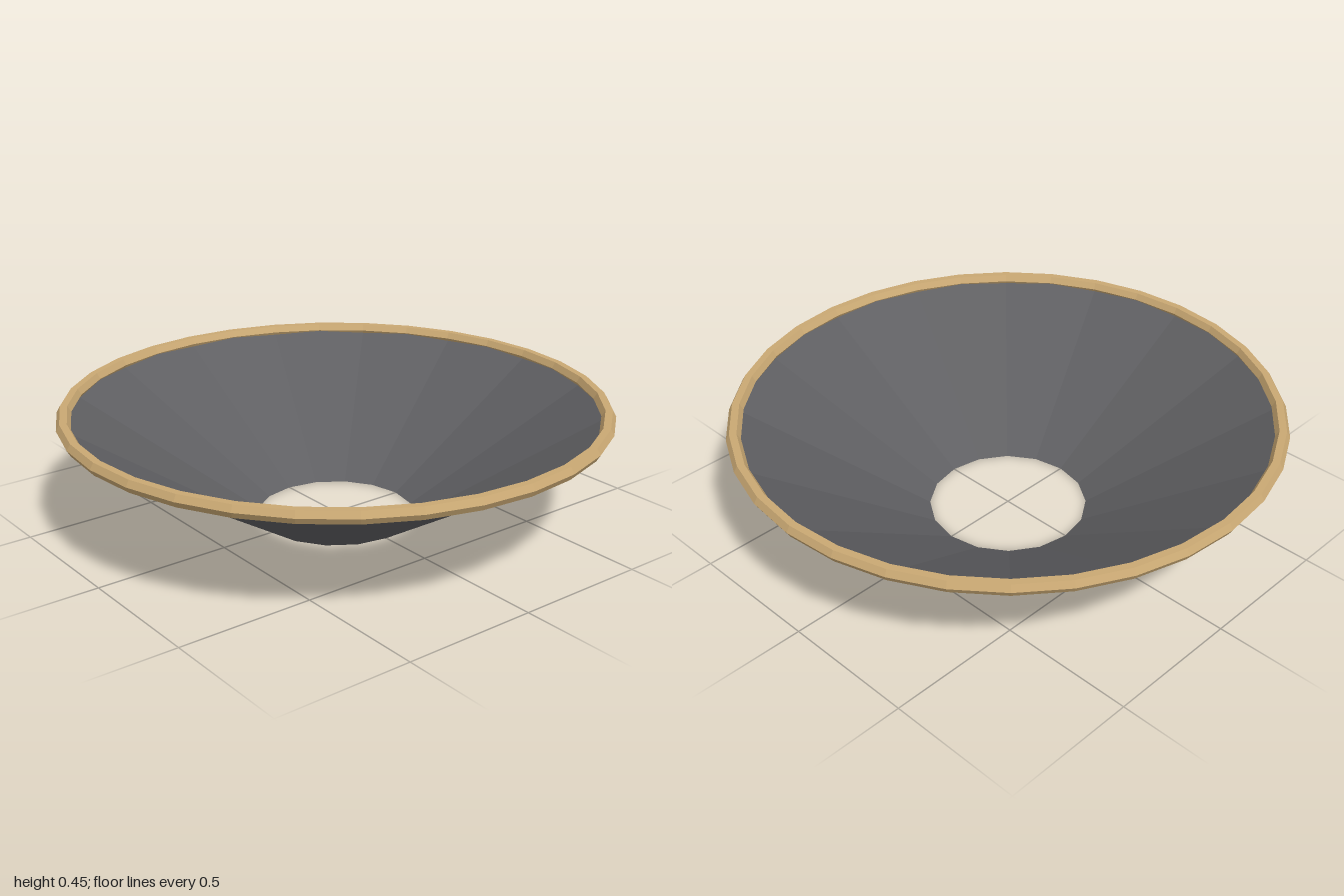
import * as THREE from 'three';

export function createModel() {
  const model = new THREE.Group();
  model.name = 'shade';

  const charcoal = new THREE.MeshStandardMaterial({ color: 0x5f5f62, flatShading: true, side: THREE.DoubleSide });
  charcoal.name = 'charcoal';
  const brass = new THREE.MeshStandardMaterial({ color: 0xc9a873, flatShading: true });
  brass.name = 'brass';

  const rimRadius = 0.974, tube = 0.026, rimY = 0.423;

  // Open sixteen-sided cone with a hole at the bottom
  const cone = new THREE.Mesh(new THREE.CylinderGeometry(rimRadius, 0.293, rimY, 16, 1, true), charcoal);
  cone.name = 'coneShell';
  cone.position.y = rimY / 2;
  model.add(cone);

  // Hexagonal-section ring round the upper edge
  const rim = new THREE.Mesh(new THREE.TorusGeometry(rimRadius, tube, 6, 32).rotateX(Math.PI / 2), brass);
  rim.name = 'rimRing';
  rim.position.y = rimY;
  model.add(rim);

  return model;
}
